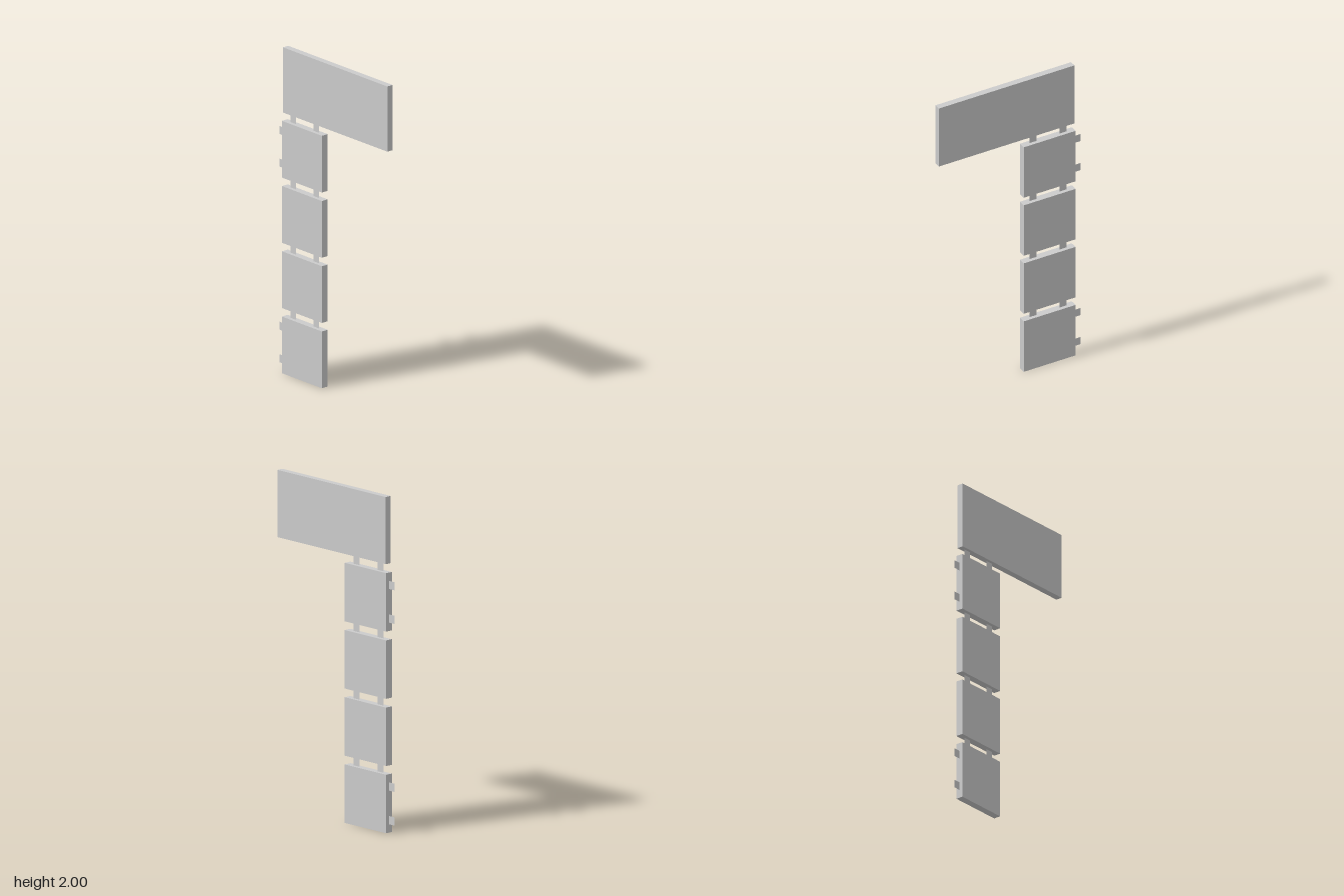
import * as THREE from 'three';

export function createModel() {
  const model = new THREE.Group();
  const solid = new THREE.MeshStandardMaterial({ color: 0xcccccc, flatShading: true });
  const thin = new THREE.MeshStandardMaterial({ color: 0xcccccc, side: THREE.DoubleSide });

  // Slab spanning x0..x1, y0..y1; depth 0 gives a flat strip
  function slab(name, x0, x1, y0, y1, depth = 0) {
    const w = x1 - x0, h = y1 - y0;
    const mesh = depth
      ? new THREE.Mesh(new THREE.BoxGeometry(w, h, depth), solid)
      : new THREE.Mesh(new THREE.PlaneGeometry(w, h), thin);
    mesh.position.set((x0 + x1) / 2, (y0 + y1) / 2, 0);
    mesh.name = name;
    model.add(mesh);
  }

  const left = -0.434, right = -0.087, size = 0.348, pitch = 0.4;

  // Wide sign board at the top
  slab('topSign', -0.428, 0.48, 1.6, 2, 0.04);

  for (let i = 0; i < 4; i++) {
    const y = i * pitch;
    // Square hanging panel
    slab('panel', left, right, y, y + size, 0.045);
    // Two flat links up to the next board
    for (const x of [-0.387, -0.186]) slab('link', x, x + 0.049, y + size, y + pitch);
    // Wall tabs on the lowest and highest panels
    if (i === 0 || i === 3) {
      for (const dy of [0.05, 0.25]) slab('wallTab', -0.481, left, y + dy, y + dy + 0.049);
    }
  }
  return model;
}
